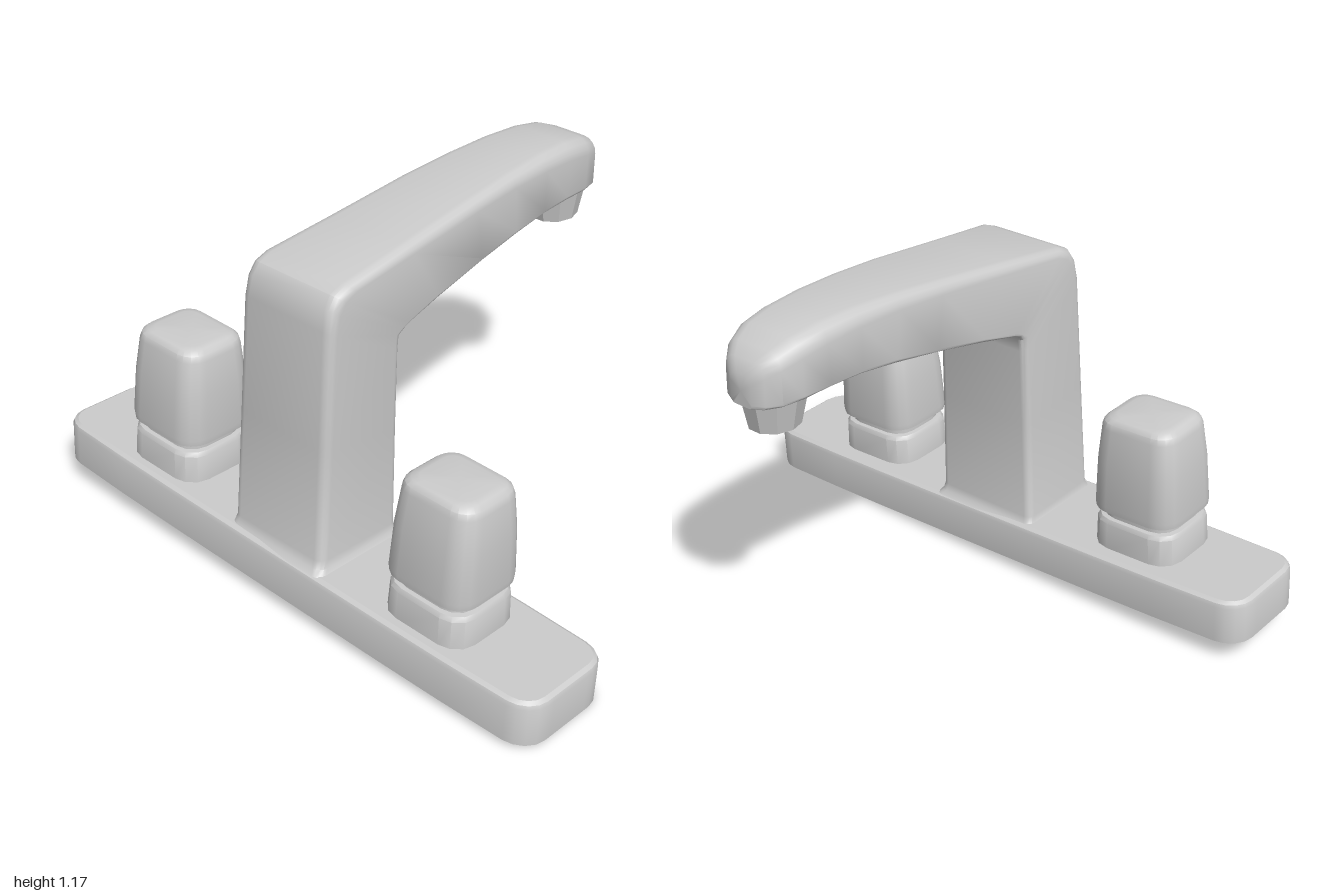
import * as THREE from 'three';
import { toCreasedNormals } from 'three/addons/utils/BufferGeometryUtils.js';

const material = new THREE.MeshStandardMaterial({ color: 0xcccccc, side: THREE.DoubleSide });

// Counter-clockwise rounded rectangle; rp / rn are the corner radii on its +a / -a side
function roundRect(ha, hb, rp, rn = rp, steps = 4, split = 1) {
  const corners = [[1, 1, rp, 0], [-1, 1, rn, 1], [-1, -1, rn, 2], [1, -1, rp, 3]];
  const arcs = corners.map(([sa, sb, r, q]) => Array.from({ length: steps + 1 }, (_, i) => {
    const t = (q + i / steps) * Math.PI / 2;
    return [sa * (ha - r) + r * Math.cos(t), sb * (hb - r) + r * Math.sin(t)];
  }));
  const pts = [];
  arcs.forEach((arc, k) => {
    pts.push(...arc);
    const p = arc[steps], q = arcs[(k + 1) % 4][0];
    for (let i = 1; i < split; i++) {
      const f = i / split;
      pts.push([p[0] + (q[0] - p[0]) * f, p[1] + (q[1] - p[1]) * f]);
    }
  });
  return pts;
}

// Skin through equal-length rings of [x, y, z], with an optional fan at the end
function loft(rings, cap = false) {
  const n = rings[0].length, index = [], pos = rings.flat(2);
  for (let r = 0; r < rings.length - 1; r++) {
    for (let i = 0; i < n; i++) {
      const j = (i + 1) % n, a = r * n, b = a + n;
      index.push(a + i, a + j, b + j, a + i, b + j, b + i);
    }
  }
  if (cap) {
    const last = rings[rings.length - 1], start = (rings.length - 1) * n;
    for (let k = 0; k < 3; k++) pos.push(last.reduce((s, p) => s + p[k], 0) / n);
    for (let i = 0; i < n; i++) index.push(start + i, start + (i + 1) % n, rings.length * n);
  }
  const g = new THREE.BufferGeometry();
  g.setAttribute('position', new THREE.Float32BufferAttribute(pos, 3));
  g.setIndex(index);
  return toCreasedNormals(g, 0.6);
}

function part(name, geometry, parent) {
  const mesh = new THREE.Mesh(geometry, material);
  mesh.name = name;
  parent.add(mesh);
  return mesh;
}

// Stack of horizontal rounded rectangles: [y, half x, half z, corner radius]
const stack = (levels, cap, steps) => loft(
  levels.map(([y, hx, hz, r]) => roundRect(hx, hz, r, r, steps).map(([a, b]) => [a, y, -b])), cap);

function addBase(parent) {
  // Long plan with gently bowed sides, open underneath
  const plan = (inset) => roundRect(0.19 - inset, 1 - inset, 0.085 - inset, 0.085 - inset, 4, 8)
    .map(([a, b]) => [a * (1 - 0.07 * b * b * b * b), b]);
  const levels = [[0, 0], [0.125, 0], [0.137, 0.005], [0.145, 0.018]];
  part('baseWall', loft(levels.map(([y, inset]) => plan(inset).map(([a, b]) => [a, y, -b]))), parent);

  const toPoints = (pts, db = 0) => pts.map(([a, b]) => new THREE.Vector2(a, b + db));
  const shape = new THREE.Shape(toPoints(plan(0.018)));
  shape.holes.push(new THREE.Path(toPoints(roundRect(0.14, 0.165, 0.02))));
  for (const s of [-1, 1]) {
    shape.holes.push(new THREE.Path(toPoints(roundRect(0.115, 0.13, 0.06), s * 0.555)));
  }
  const top = new THREE.ShapeGeometry(shape);
  top.rotateX(-Math.PI / 2);
  top.translate(0, 0.145, 0);
  part('baseTop', top, parent);
}

function addHandle(name, z, parent) {
  const handle = new THREE.Group();
  handle.name = name;
  handle.position.set(-0.008, 0, z);
  // Collar with a narrow neck above it
  part('handleCollar', stack([
    [0.135, 0.138, 0.156, 0.075], [0.235, 0.136, 0.152, 0.075], [0.248, 0.128, 0.144, 0.07],
    [0.25, 0.115, 0.13, 0.065], [0.285, 0.115, 0.13, 0.065],
  ], false, 3), handle);
  // Tapered knob, closed below and softly rounded above
  part('handleKnob', stack([
    [0.272, 0.01, 0.01, 0.005], [0.27, 0.125, 0.14, 0.07], [0.28, 0.14, 0.154, 0.075],
    [0.3, 0.142, 0.156, 0.075], [0.45, 0.134, 0.149, 0.07], [0.565, 0.121, 0.138, 0.065],
    [0.585, 0.115, 0.131, 0.06], [0.598, 0.1, 0.116, 0.05], [0.602, 0.08, 0.095, 0.035],
  ], true, 4), handle);
  parent.add(handle);
}

function addSpout(parent) {
  // Stations: inner x, y, outer x, y, half width, outer corner radius
  const stations = [
    [-0.33, 0.172, -0.695, 0.19, 0.203, 0.03],
    [-0.343, 0.187, -0.68, 0.205, 0.193, 0.03],
    [-0.349, 0.21, -0.67, 0.23, 0.188, 0.03],
    [-0.34, 0.55, -0.642, 0.6, 0.183, 0.03],
    [-0.331, 0.81, -0.613, 0.98, 0.179, 0.032],
    [-0.325, 0.85, -0.6, 1.045, 0.177, 0.035],
    [-0.312, 0.869, -0.575, 1.08, 0.176, 0.036],
    [-0.285, 0.878, -0.53, 1.097, 0.174, 0.036],
    [-0.15, 0.903, -0.28, 1.122, 0.163, 0.036],
    [0.05, 0.938, 0.02, 1.152, 0.153, 0.038],
    [0.22, 0.962, 0.2, 1.165, 0.145, 0.042],
    [0.36, 0.977, 0.36, 1.17, 0.139, 0.048],
    [0.48, 0.978, 0.49, 1.165, 0.133, 0.052],
    [0.58, 0.972, 0.585, 1.149, 0.125, 0.052],
    [0.645, 0.966, 0.645, 1.124, 0.106, 0.048],
    [0.685, 0.962, 0.682, 1.095, 0.076, 0.04],
    [0.702, 0.96, 0.704, 1.06, 0.04, 0.03],
  ];
  const rings = stations.map(([ix, iy, ox, oy, hw, r]) => {
    const len = Math.hypot(ox - ix, oy - iy), ux = (ox - ix) / len, uy = (oy - iy) / len;
    const inner = iy < 0.86 ? 0.025 : 0.012;
    return roundRect(len / 2, hw, r, inner).map(([a, b]) => {
      const y = (iy + oy) / 2 + uy * a;
      return [(ix + ox) / 2 + ux * a, y, 0.028 * y + b];
    });
  });
  part('spout', loft(rings, true), parent);

  // Faceted outlet under the tip
  const outlet = new THREE.CylinderGeometry(0.112, 0.083, 0.13, 10).toNonIndexed();
  outlet.computeVertexNormals();
  const mesh = part('outlet', outlet, parent);
  mesh.position.set(0.578, 0.926, 0.03);
  mesh.scale.z = 0.9;
}

export function createModel() {
  const model = new THREE.Group();
  model.name = 'faucet';

  // The deck plate and handles lean slightly
  const deck = new THREE.Group();
  deck.name = 'deck';
  deck.position.set(-0.52, 0.045, 0);
  deck.rotation.set(0.035, 0, -0.05);
  addBase(deck);
  addHandle('leftHandle', 0.555, deck);
  addHandle('rightHandle', -0.555, deck);
  model.add(deck);

  addSpout(model);
  return model;
}
